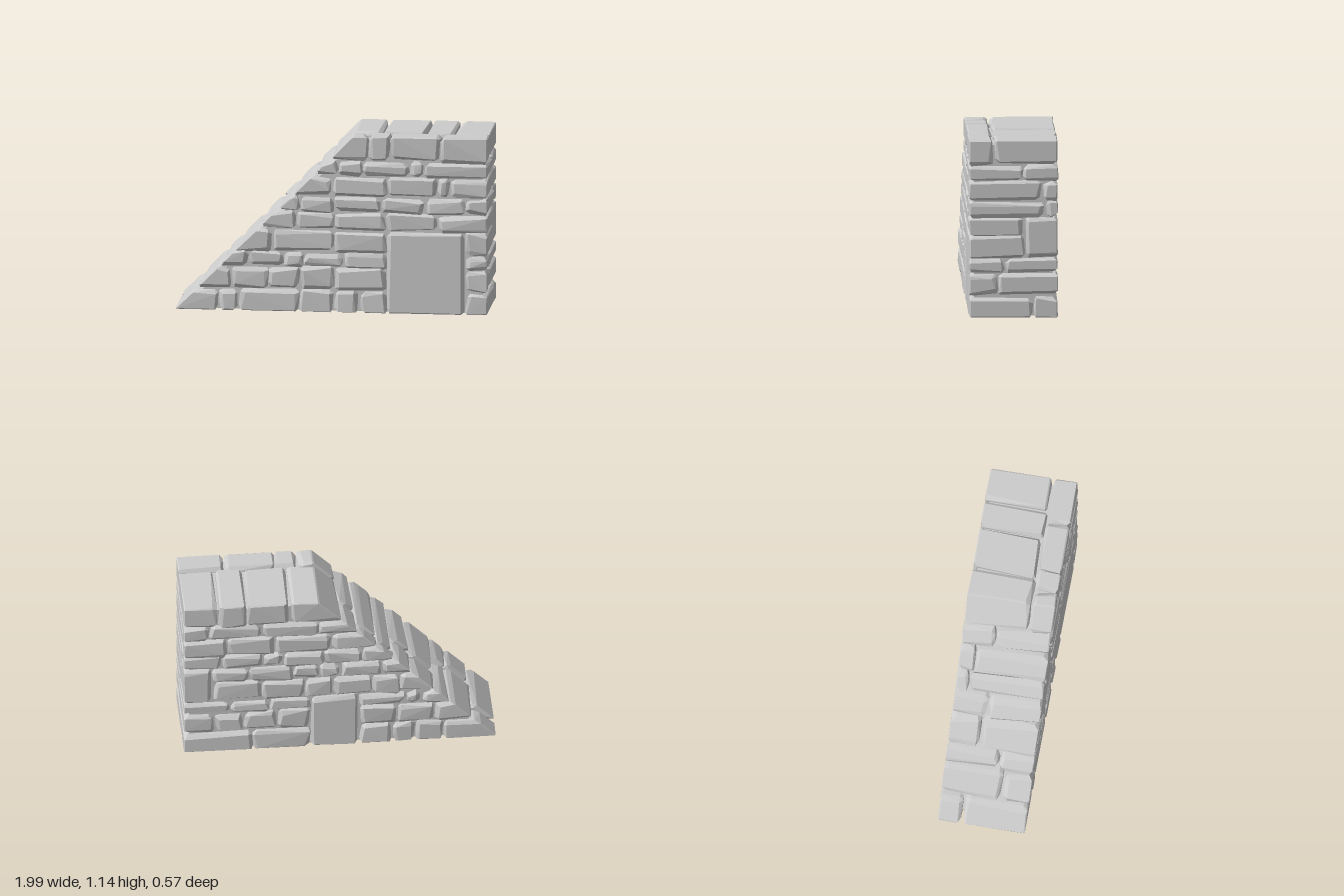
import * as THREE from 'three';
import { ConvexGeometry } from 'three/addons/geometries/ConvexGeometry.js';

const TOP = 1.145, HALF = 0.285;
const slopeX = (y) => -1 + y * (1.14 / TOP);

// Small seeded random generator
let seed = 7;
const rand = (a, b) => {
  seed = (seed * 16807) % 2147483647;
  return a + (b - a) * (seed / 2147483647);
};

const material = new THREE.MeshStandardMaterial({ color: 0xcccccc, flatShading: true });

// Is this side of a stone on the outside of the wall?
const isOuter = (axis, value, sloped, sign) =>
  axis === 0 ? value > 0.99 || (sloped && sign < 0)
    : axis === 1 ? value < 0.01 || value > TOP - 0.01
      : Math.abs(value) > HALF - 0.01;

// One rough-cut stone: every box corner is cut off by three points
function stone(name, lo, hi, sloped = false) {
  const points = [];
  for (const sx of [-1, 1]) for (const sy of [-1, 1]) for (const sz of [-1, 1]) {
    const sign = [sx, sy, sz];
    const side = sign.map((s, i) => (s < 0 ? lo[i] : hi[i]));
    const outer = side.map((v, i) => isOuter(i, v, sloped, sign[i]));
    const corner = side.map((v, i) => v - sign[i] * (outer[i] ? 0 : rand(-0.004, 0.014)));
    if (outer[2]) corner[2] -= sz * rand(0, 0.007);
    for (let k = 0; k < 3; k++) {
      const p = corner.map((v, j) => {
        if (j === k) return v;
        const limit = (hi[j] - lo[j]) * 0.3;
        const cut = outer[j] && outer[k] ? rand(0.003, 0.01) : rand(0.009, 0.033);
        return v - sign[j] * Math.min(cut, limit);
      });
      // The lowest-x end of a sloped stone follows the raking line
      if (sloped && sx < 0) p[0] += slopeX(p[1]) - lo[0];
      points.push(new THREE.Vector3(...p));
    }
  }
  const mesh = new THREE.Mesh(new ConvexGeometry(points), material);
  mesh.name = name;
  return mesh;
}

// Courses: height range, depth of the joint between front and back rows, and x joints
const courses = [
  { y: [0, 0.14], z: -0.13, front: [-0.72, -0.59, -0.2, 0.02, 0.18, 0.36, 0.86], back: [-0.66, -0.48, -0.33, -0.12, 0.19, 0.56] },
  { y: [0.14, 0.29], z: 0.1, front: [-0.64, -0.4, -0.2, 0.02, 0.36, 0.86], back: [-0.6, -0.36, -0.12, 0.19, 0.4, 0.62, 0.8] },
  { y: [0.29, 0.385], z: 0.06, front: [-0.53, -0.3, -0.18, 0.08, 0.36, 0.86], back: [-0.52, -0.42, -0.12, 0.19, 0.45, 0.7] },
  { y: [0.385, 0.53], z: -0.08, front: [-0.38, 0.02, 0.36, 0.86], back: [-0.38, -0.2, 0.05, 0.22, 0.5, 0.82] },
  { y: [0.53, 0.645], z: -0.06, front: [-0.22, 0.02, 0.35, 0.68], back: [-0.26, 0, 0.14, 0.3, 0.58, 0.82] },
  { y: [0.645, 0.75], z: -0.2, front: [-0.2, 0.02, 0.32, 0.6, 0.86], back: [-0.14, 0.1, 0.36, 0.5, 0.76] },
  { y: [0.75, 0.88], z: -0.18, front: [0.01, 0.36, 0.68, 0.76], back: [0.06, 0.42, 0.72] },
  { y: [0.88, 0.985], z: -0.06, front: [0.05, 0.2, 0.5, 0.6], back: [0.14, 0.5, 0.84] },
  { y: [0.985, TOP], z: 0.13, front: [0.24, 0.38, 0.7], back: [0.32, 0.6, 0.78] },
];

// Large stones that span several courses
const bigStones = [
  { row: 'front', x: [0.36, 0.86], y: [0, 0.525], z: [0, HALF] },
  { row: 'back', x: [-0.12, 0.19], y: [0, 0.385], z: [-HALF, 0] },
  { row: 'back', x: [0.82, 1], y: [0.385, 0.645], z: [-HALF, -0.07] },
];

export function createModel() {
  seed = 7;
  const group = new THREE.Group();
  group.name = 'stoneWall';

  // Recessed core seen at the bottom of the joints
  const inset = 0.034;
  const outline = new THREE.Shape([
    new THREE.Vector2(-0.9, 0.006),
    new THREE.Vector2(1 - inset, 0.006),
    new THREE.Vector2(1 - inset, TOP - inset),
    new THREE.Vector2(slopeX(TOP - inset) + 0.05, TOP - inset),
    new THREE.Vector2(slopeX(0.04) + 0.05, 0.04),
  ]);
  const depth = 2 * (HALF - inset);
  const coreGeometry = new THREE.ExtrudeGeometry(outline, { depth, bevelEnabled: false });
  coreGeometry.translate(0, 0, -depth / 2);
  const core = new THREE.Mesh(coreGeometry, material);
  core.name = 'core';
  group.add(core);

  // Courses of stones, front and back
  courses.forEach((course, index) => {
    const courseGroup = new THREE.Group();
    courseGroup.name = `course${index + 1}`;
    const [y0, y1] = course.y;
    for (const row of ['front', 'back']) {
      const xs = [slopeX(y0), ...course[row], 1];
      const [z0, z1] = row === 'front' ? [course.z, HALF] : [-HALF, course.z];
      for (let i = 0; i < xs.length - 1; i++) {
        const middle = (xs[i] + xs[i + 1]) / 2, level = (y0 + y1) / 2;
        const covered = bigStones.some((b) => b.row === row
          && middle > b.x[0] && middle < b.x[1] && level > b.y[0] && level < b.y[1]);
        if (covered) continue;
        // Some joints step a little up or down within a course
        const low = y0 === 0 ? 0 : y0 + rand(-0.008, 0.008);
        const high = y1 === TOP ? TOP : y1 + rand(-0.008, 0.008);
        courseGroup.add(stone(`${row}Stone`, [xs[i], low, z0], [xs[i + 1], high, z1], i === 0));
      }
    }
    group.add(courseGroup);
  });

  for (const b of bigStones) {
    group.add(stone(`${b.row}LargeStone`, [b.x[0], b.y[0], b.z[0]], [b.x[1], b.y[1], b.z[1]]));
  }
  return group;
}
